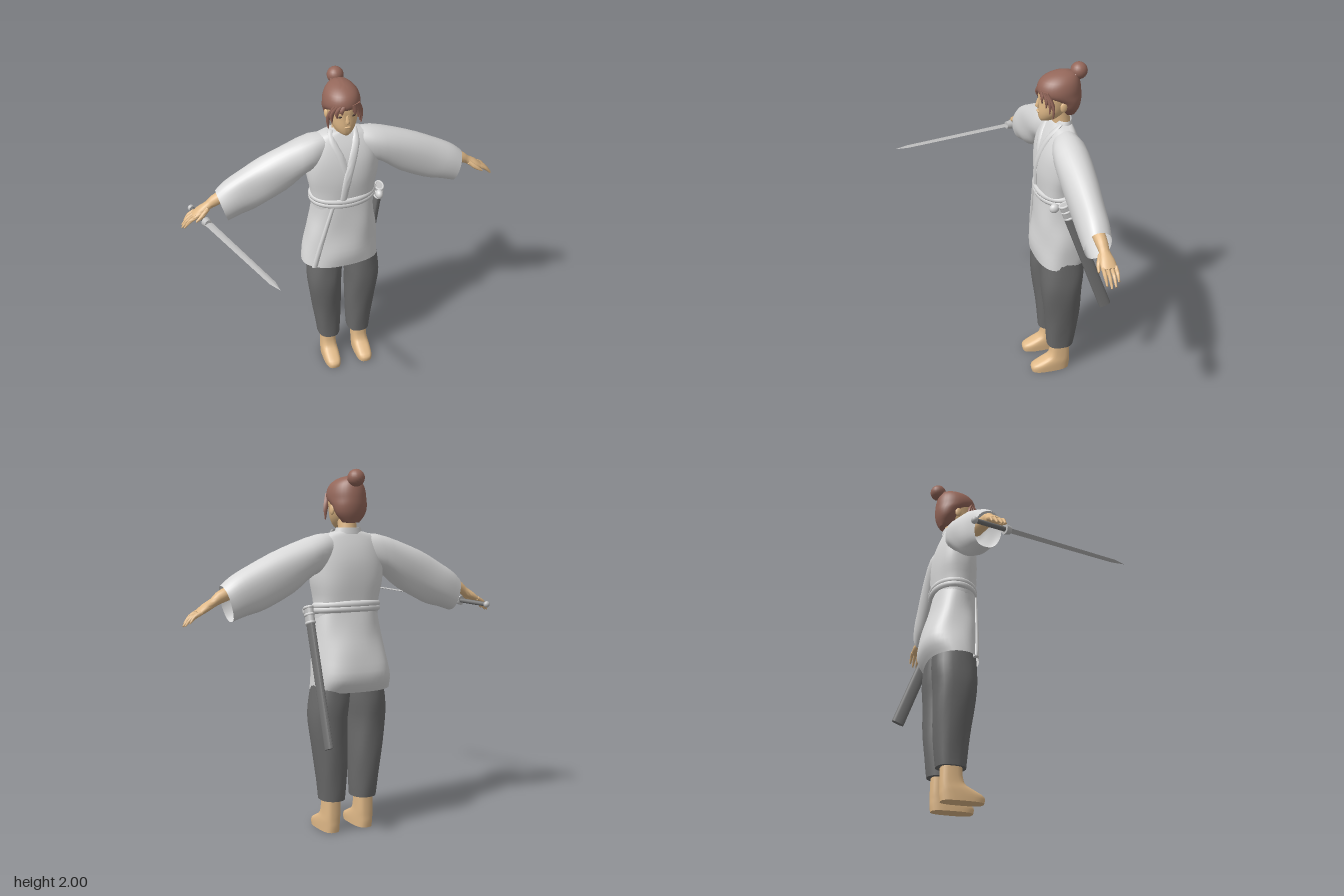
import * as THREE from 'three';
import { toCreasedNormals } from 'three/addons/utils/BufferGeometryUtils.js';

const mat = (name, color, side = THREE.FrontSide) => {
  const m = new THREE.MeshStandardMaterial({ color, side });
  m.name = name;
  return m;
};

// Smooth skin over rows [x, y, z, ux, uy, rz]: each ring is centre + cos*(ux,uy,0) + sin*(0,0,rz).
function loft(rows, { n = 24, steps = 3, p = 2, cap = true, fold = 0 } = {}) {
  const at = i => rows[Math.min(Math.max(i, 0), rows.length - 1)];
  const rings = [];
  for (let i = 0; i < rows.length - 1; i++) {
    for (let s = 0; s < steps; s++) {
      const t = s / steps;
      rings.push(rows[i].map((b, k) => {
        const a = at(i - 1)[k], c = at(i + 1)[k], d = at(i + 2)[k];
        return b + 0.5 * t * (c - a + t * (2 * a - 5 * b + 4 * c - d + t * (3 * (b - c) + d - a)));
      }));
    }
  }
  rings.push(rows[rows.length - 1]);
  const pos = [], idx = [], bend = v => Math.sign(v) * Math.abs(v) ** (2 / p);
  rings.forEach(([x, y, z, ux, uy, rz]) => {
    for (let j = 0; j < n; j++) {
      const a = j / n * Math.PI * 2;
      const w = 1 + fold * (Math.sin(5 * a + 14 * y + 9 * x) + 0.6 * Math.sin(3 * a - 25 * y - 17 * x));
      const c = bend(Math.cos(a)) * w, s = bend(Math.sin(a)) * w;
      pos.push(x + c * ux, y + c * uy, z + s * rz);
    }
  });
  for (let i = 0; i < rings.length - 1; i++) {
    for (let j = 0; j < n; j++) {
      const a = i * n + j, b = i * n + (j + 1) % n;
      idx.push(a, a + n, b, b, a + n, b + n);
    }
  }
  if (cap) {
    [0, rings.length - 1].forEach((r, top) => {
      const c = pos.length / 3;
      pos.push(...rings[r].slice(0, 3));
      for (let j = 0; j < n; j++) {
        const a = r * n + j, b = r * n + (j + 1) % n;
        if (top) idx.push(c, b, a); else idx.push(c, a, b);
      }
    });
  }
  const g = new THREE.BufferGeometry();
  g.setAttribute('position', new THREE.Float32BufferAttribute(pos, 3));
  g.setIndex(idx);
  return toCreasedNormals(g, 1.0);
}

// Mirrored copy of rows; the order is reversed where the part runs along x.
const upright = (rows, s) => rows.map(([x, ...r]) => [x * s, ...r]);
const sideways = (rows, s) => s > 0 ? rows : rows.map(([x, y, z, ux, ...r]) => [-x, y, z, -ux, ...r]).reverse();

// Points the local y axis of a group from one point to another, with x near the hint.
function aim(group, from, to, hint) {
  const y = to.clone().sub(from).normalize();
  const z = new THREE.Vector3().crossVectors(hint, y).normalize();
  const x = new THREE.Vector3().crossVectors(y, z);
  group.quaternion.setFromRotationMatrix(new THREE.Matrix4().makeBasis(x, y, z));
  group.position.copy(from);
}

export function createModel() {
  const root = new THREE.Group();
  const robe = mat('robe cloth', 0xd8d8d8, THREE.DoubleSide);
  const grey = mat('trouser cloth', 0x6a6a6a);
  const skin = mat('skin', 0xe0b988);
  const hair = mat('hair', 0x94675a);
  const steel = mat('steel', 0xc0c0c0);
  const sheath = mat('sheath', 0x747474);
  const dark = mat('eye', 0x4a3a34);
  const add = (name, geo, m, parent = root) => {
    const mesh = new THREE.Mesh(geo, m);
    mesh.name = name;
    parent.add(mesh);
    return mesh;
  };
  const ball = (name, r, m, x, y, z, sx = 1, sy = 1, sz = 1, parent = root) => {
    const b = add(name, new THREE.SphereGeometry(r, 20, 14), m, parent);
    b.position.set(x, y, z);
    b.scale.set(sx, sy, sz);
  };

  // Robe body and skirt
  add('robeTop', loft([
    [0, 1.20, -.275, .183, 0, .113], [0, 1.30, -.275, .19, 0, .12], [0, 1.40, -.276, .21, 0, .124],
    [0, 1.50, -.278, .213, 0, .115], [0, 1.58, -.282, .2, 0, .093], [0, 1.64, -.287, .165, 0, .066],
    [0, 1.67, -.29, .075, 0, .05]], { n: 40, p: 2.4, fold: .008 }), robe);
  add('robeSkirt', loft([
    [-.02, .80, -.285, .232, 0, .142], [-.015, .88, -.303, .225, 0, .166], [-.005, 1.0, -.298, .21, 0, .15],
    [0, 1.12, -.285, .19, 0, .13], [0, 1.25, -.275, .18, 0, .113]], { n: 48, p: 2.4, cap: false, fold: .014 }), robe);

  // Crossed lapels and the overlapping skirt edge
  add('leftLapel', loft([[-.03, 1.25, -.158, .02, 0, .008], [-.005, 1.40, -.15, .024, 0, .01], [.035, 1.53, -.174, .025, 0, .01],
    [.065, 1.62, -.215, .022, 0, .012], [.07, 1.68, -.27, .016, 0, .012]], { n: 12 }), robe);
  add('rightLapel', loft([[.01, 1.38, -.153, .015, 0, .006], [-.03, 1.53, -.173, .023, 0, .008],
    [-.065, 1.62, -.215, .022, 0, .012], [-.07, 1.68, -.27, .016, 0, .012]], { n: 12 }), robe);
  add('collarBack', loft([[0, 1.655, -.295, .085, 0, .055], [0, 1.69, -.3, .072, 0, .046]], { cap: false }), robe);
  add('skirtEdge', loft([[-.2, .80, -.19, .02, 0, .015], [-.165, .95, -.18, .016, 0, .015], [-.09, 1.22, -.166, .012, 0, .01]],
    { n: 10 }), robe);

  // Belt with two coils and a side knot
  [0, 1].forEach(k => {
    const pts = [];
    for (let i = 0; i < 16; i++) {
      const a = i / 16 * Math.PI * 2;
      pts.push(new THREE.Vector3(Math.cos(a) * .182, 1.268 - k * .024 - .012 * Math.sin(a), -.278 + Math.sin(a) * .116));
    }
    add('belt', new THREE.TubeGeometry(new THREE.CatmullRomCurve3(pts, true), 64, .02, 10, true), robe);
  });
  ball('beltKnot', .028, robe, .205, 1.235, -.2, .8, 1, 1);

  [1, -1].forEach(s => {
    const side = s > 0 ? 'left' : 'right';
    // Wide sleeve, open at the cuff
    add(side + 'Sleeve', loft(sideways([
      [.08, 1.55, -.283, .03, -.10, .06], [.198, 1.545, -.283, .02, -.11, .095], [.37, 1.462, -.285, -.03, -.12, .092],
      [.535, 1.382, -.283, -.036, -.12, .083], [.64, 1.338, -.28, -.038, -.105, .08], [.71, 1.30, -.277, -.026, -.095, .073]], s),
      { n: 32, p: 2.2, cap: false, fold: .013 }), robe);
    // Forearm and palm
    add(side + 'Hand', loft(sideways([
      [.5, 1.42, -.28, -.012, -.036, .036], [.72, 1.35, -.282, -.012, -.033, .034], [.785, 1.313, -.284, -.01, -.022, .028],
      [.83, 1.287, -.284, -.01, -.02, .04], [.872, 1.26, -.285, -.007, -.013, .042]], s), { n: 18 }), skin);
    // Fingers and thumb
    [[-.319, .925], [-.298, .943], [-.275, .947], [-.253, .935]].forEach(([z, x]) => {
      const y = 1.26 - (x - .87) * .82;
      add(side + 'Finger', loft(sideways([[.86, 1.268, z, -.007, -.01, .011], [(.86 + x) / 2 + .005, (1.268 + y) / 2 + .006, z, -.006, -.009, .01],
        [x, y, z, -.002, -.004, .005]], s), { n: 8 }), skin);
    });
    add(side + 'Thumb', loft(sideways([[.79, 1.305, -.262, -.006, -.013, .014], [.83, 1.275, -.24, -.006, -.012, .012],
      [.868, 1.25, -.23, -.002, -.005, .006]], s), { n: 10 }), skin);
    // Trouser leg
    add(side + 'TrouserLeg', loft(upright([
      [.098, .185, -.293, .07, 0, .082], [.1, .26, -.295, .076, 0, .09], [.108, .42, -.295, .089, 0, .105],
      [.12, .62, -.284, .102, 0, .121], [.112, .76, -.29, .104, 0, .125], [.095, .98, -.29, .09, 0, .11]], s),
      { n: 28, p: 2.3, fold: .01 }), grey);
    // Ankle and foot
    add(side + 'Foot', loft(upright([
      [.105, 0, -.23, .05, 0, .118], [.105, .035, -.232, .051, 0, .12], [.105, .065, -.258, .05, 0, .094],
      [.104, .105, -.288, .047, 0, .064], [.103, .21, -.293, .046, 0, .057]], s), { n: 24, p: 3 }), skin);
    // Ear, eye and brow
    ball(side + 'Ear', .026, skin, s * .087, 1.785, -.275, .4, 1.1, .75);
    ball(side + 'Eye', .013, dark, s * .036, 1.807, -.168, 1.1, .45, .3);
    ball(side + 'Brow', .018, hair, s * .038, 1.832, -.168, 1.1, .15, .25);
  });

  // Neck, face, nose and lips
  add('neck', loft([[0, 1.60, -.297, .06, 0, .055], [0, 1.67, -.29, .052, 0, .05], [0, 1.76, -.275, .05, 0, .052]]), skin);
  add('face', loft([
    [0, 1.685, -.198, .018, 0, .026], [0, 1.70, -.215, .042, 0, .052], [0, 1.74, -.235, .069, 0, .079],
    [0, 1.80, -.253, .085, 0, .094], [0, 1.86, -.262, .09, 0, .102], [0, 1.92, -.272, .065, 0, .08]], { n: 30 }), skin);
  add('nose', loft([[0, 1.766, -.158, .011, 0, .012], [0, 1.776, -.156, .012, 0, .015], [0, 1.815, -.16, .006, 0, .007]], { n: 10 }), skin);
  ball('lips', .018, skin, 0, 1.742, -.157, 1, .35, .35);

  // Hair cap, fringe strands and bun
  add('hairCap', loft([
    [0, 1.715, -.328, .045, 0, .04], [0, 1.76, -.324, .082, 0, .063], [0, 1.805, -.312, .097, 0, .083],
    [0, 1.842, -.278, .104, 0, .117], [0, 1.88, -.272, .102, 0, .119], [0, 1.92, -.277, .086, 0, .103],
    [0, 1.95, -.292, .052, 0, .068], [0, 1.964, -.3, .012, 0, .015]], { n: 32 }), hair);
  [[-.094, 1.725], [-.078, 1.765], [-.055, 1.80], [-.03, 1.825], [.045, 1.81], [.068, 1.785], [.083, 1.755], [.096, 1.73]].forEach(([x, y]) => {
    const z = v => -.15 - 7 * v * v;
    add('fringeStrand', loft([[x, y, z(x), .003, 0, .003], [x * .98, (y + 1.87) / 2, z(x * .98) - .002, .014, 0, .01],
      [x * .6 + .005, 1.875, z(x * .6) - .012, .018, 0, .012]], { n: 8 }), hair);
  });
  ball('hairBun', .047, hair, 0, 1.953, -.382);
  const tie = add('bunTie', new THREE.TorusGeometry(.03, .01, 8, 20), hair);
  tie.position.set(0, 1.935, -.35);
  tie.rotation.x = -.6;

  // Sword held under the right palm
  const sword = new THREE.Group();
  sword.name = 'sword';
  aim(sword, new THREE.Vector3(-.87, 1.238, -.40), new THREE.Vector3(-.58, 1.30, .555), new THREE.Vector3(.957, 0, -.29));
  const grip = add('swordGrip', new THREE.CylinderGeometry(.013, .013, .2, 14), sheath, sword);
  grip.position.y = .1;
  ball('swordPommel', .019, steel, 0, .005, 0, 1, .9, 1, sword);
  const guard = add('swordGuard', new THREE.CylinderGeometry(.022, .028, .032, 16), steel, sword);
  guard.position.y = .205;
  add('swordBlade', loft([[0, .21, 0, .022, 0, .005], [0, .92, 0, .017, 0, .004], [0, .997, 0, .001, 0, .001]],
    { n: 4, steps: 1 }), steel, sword);
  root.add(sword);

  // Scabbard hanging at the left hip
  const scabbard = new THREE.Group();
  scabbard.name = 'scabbard';
  aim(scabbard, new THREE.Vector3(.236, .53, -.522), new THREE.Vector3(.222, 1.27, -.25), new THREE.Vector3(1, 0, 0));
  add('scabbardBody', loft([[0, 0, 0, .016, 0, .036], [0, .70, 0, .017, 0, .034]], { n: 16, p: 2.6, steps: 1 }), sheath, scabbard);
  add('scabbardThroat', loft([[0, .69, 0, .022, 0, .035], [0, .78, 0, .021, 0, .033]], { n: 16, p: 2.6, steps: 1 }), steel, scabbard);
  [.69, .735, .775].forEach(y => {
    const ring = add('scabbardCord', new THREE.TorusGeometry(.03, .008, 8, 24), robe, scabbard);
    ring.rotation.x = Math.PI / 2;
    ring.scale.x = .75;
    ring.position.y = y;
  });
  root.add(scabbard);
  return root;
}
